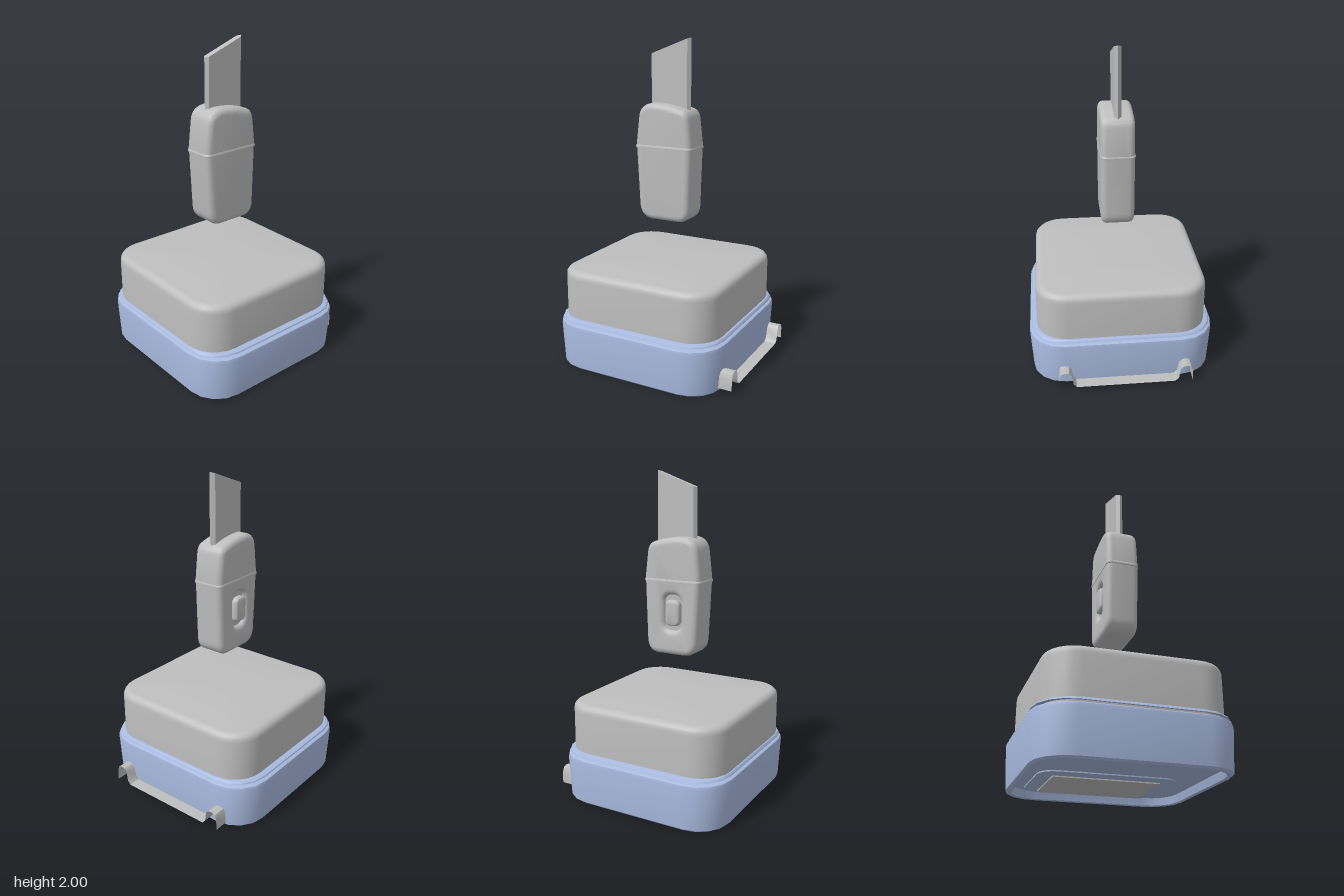
import * as THREE from 'three';
import { toCreasedNormals } from 'three/addons/utils/BufferGeometryUtils.js';

const grey = new THREE.MeshStandardMaterial({ color: 0xbebebe, side: THREE.DoubleSide });
grey.name = 'light grey';
const blue = new THREE.MeshStandardMaterial({ color: 0xa8badf });
blue.name = 'soft blue';

function add(group, name, geometry, material) {
  const mesh = new THREE.Mesh(toCreasedNormals(geometry, 0.6), material);
  mesh.name = name;
  group.add(mesh);
  return mesh;
}

// Skin a stack of rounded rectangles; each section is [y, halfX, halfZ, radius]
function loft(sections, centreZ, steps = 4) {
  const pos = [], index = [], n = 4 * (steps + 1);
  for (const [y, hx, hz, r] of sections) {
    for (let c = 0; c < 4; c++) {
      const sx = c === 0 || c === 3 ? 1 : -1, sz = c < 2 ? 1 : -1;
      for (let k = 0; k <= steps; k++) {
        const a = (c + k / steps) * Math.PI / 2;
        pos.push(sx * (hx - r) + r * Math.cos(a), y, centreZ + sz * (hz - r) + r * Math.sin(a));
      }
    }
  }
  for (let i = 0; i < sections.length - 1; i++) {
    for (let j = 0; j < n; j++) {
      const a = i * n + j, b = i * n + (j + 1) % n;
      index.push(a, a + n, b, b, a + n, b + n);
    }
  }
  const g = new THREE.BufferGeometry();
  g.setAttribute('position', new THREE.Float32BufferAttribute(pos, 3));
  g.setIndex(index);
  return g;
}

function roundedRect(Type, cx, cy, w, h, r) {
  const p = new Type(), x = w / 2 - r, y = h / 2 - r;
  p.absarc(cx + x, cy + y, r, 0, Math.PI / 2);
  p.absarc(cx - x, cy + y, r, Math.PI / 2, Math.PI);
  p.absarc(cx - x, cy - y, r, Math.PI, Math.PI * 1.5);
  p.absarc(cx + x, cy - y, r, Math.PI * 1.5, Math.PI * 2);
  p.closePath();
  return p;
}

// Extrude a (-z, y) outline between two x positions with rounded edges
function slab(shape, x0, x1, bevel) {
  const g = new THREE.ExtrudeGeometry(shape, {
    depth: x1 - x0 - 2 * bevel, bevelThickness: bevel, bevelSize: bevel,
    bevelOffset: -bevel, bevelSegments: 4, curveSegments: 8,
  });
  g.translate(0, 0, x0 + bevel);
  g.rotateY(Math.PI / 2);
  // rotateY maps outline x to -z
  return g;
}

// Side outline of the handle, drawn as (-z, y)
function handleOutline() {
  const s = new THREE.Shape();
  s.moveTo(-0.12, 0.885);
  s.lineTo(0.07, 0.885);
  s.quadraticCurveTo(0.14, 0.89, 0.143, 0.97);
  s.lineTo(0.155, 1.335);
  s.lineTo(0.157, 1.36);
  s.lineTo(0.138, 1.52);
  s.quadraticCurveTo(0.13, 1.57, 0.09, 1.58);
  s.quadraticCurveTo(0.0, 1.61, -0.11, 1.611);
  s.quadraticCurveTo(-0.195, 1.605, -0.206, 1.53);
  s.lineTo(-0.226, 1.36);
  s.lineTo(-0.224, 1.335);
  s.lineTo(-0.205, 0.97);
  s.quadraticCurveTo(-0.195, 0.89, -0.12, 0.885);
  return s;
}

function createKnife() {
  const knife = new THREE.Group();
  knife.name = 'knife';

  // Handle: a solid side and an overlapping side with the slider recess
  add(knife, 'handleSolidSide', slab(handleOutline(), -0.075, 0.102, 0.035), grey);
  const open = handleOutline();
  open.holes.push(roundedRect(THREE.Path, -0.04, 1.15, 0.11, 0.22, 0.045));
  add(knife, 'handleSliderSide', slab(open, -0.102, 0.07, 0.035), grey);
  add(knife, 'slider', slab(roundedRect(THREE.Shape, -0.045, 1.15, 0.1, 0.16, 0.035), -0.112, -0.06, 0.018), grey);

  // Collar around the handle
  add(knife, 'collar', loft([
    [1.333, 0.09, 0.18, 0.03], [1.335, 0.105, 0.194, 0.035],
    [1.345, 0.106, 0.195, 0.035], [1.355, 0.102, 0.19, 0.035],
  ], 0.035), grey);

  // Blade with two ground edges and a slanted top
  const outline = [[0, -0.16], [0.021, -0.145], [0.021, 0.095], [0, 0.112], [-0.021, 0.095], [-0.021, -0.145]];
  const blade = new THREE.ExtrudeGeometry(
    new THREE.Shape(outline.map(([x, y]) => new THREE.Vector2(x, y))), { depth: 1, bevelEnabled: false });
  blade.rotateX(-Math.PI / 2);
  const p = blade.attributes.position;
  for (let i = 0; i < p.count; i++) {
    p.setY(i, p.getY(i) > 0.5 ? 1.9 + (0.16 - p.getZ(i)) * 0.368 : 1.5);
  }
  add(knife, 'blade', blade, grey).geometry.computeVertexNormals();
  return knife;
}

export function createModel() {
  const model = new THREE.Group();
  model.name = 'craftKnifeAndCase';
  const caseZ = 0.03;

  // Tub: recessed floor, foot edge, tapered wall and top lip
  add(model, 'tub', loft([
    [0.05, 0.001, 0.001, 0.0005], [0.05, 0.515, 0.5, 0.17], [0.004, 0.525, 0.508, 0.18],
    [0, 0.545, 0.528, 0.19], [0.012, 0.558, 0.541, 0.2], [0.265, 0.573, 0.555, 0.215],
    [0.283, 0.57, 0.552, 0.215], [0.29, 0.558, 0.54, 0.21], [0.29, 0.51, 0.51, 0.19],
  ], caseZ), blue);

  // Thin flange between tub and lid
  add(model, 'flange', loft([
    [0.305, 0.51, 0.51, 0.19], [0.302, 0.56, 0.545, 0.21],
    [0.31, 0.557, 0.542, 0.21], [0.318, 0.535, 0.535, 0.2], [0.318, 0.51, 0.51, 0.19],
  ], caseZ), blue);

  // Lid with a rounded upper edge
  const lid = [[0.28, 0.524, 0.526, 0.19], [0.565, 0.524, 0.526, 0.19]];
  for (let i = 1; i <= 5; i++) {
    const a = i / 5 * Math.PI / 2, inset = 0.045 * (1 - Math.cos(a));
    lid.push([0.57 + 0.045 * Math.sin(a), 0.524 - inset, 0.526 - inset, 0.19 - inset]);
  }
  lid.push([0.615, 0.001, 0.001, 0.0005]);
  add(model, 'lid', loft(lid, 0.033, 6), grey);

  // Underside hatch: a raised blue surround with a grey plate
  const surround = add(model, 'hatchSurround', loft([
    [0.043, 0.001, 0.001, 0.0005], [0.043, 0.41, 0.28, 0.1], [0.05, 0.41, 0.28, 0.1],
  ], -0.18), blue);
  surround.position.x = -0.03;
  const plate = add(model, 'hatchPlate', new THREE.BoxGeometry(0.64, 0.008, 0.42), grey);
  plate.position.set(-0.03, 0.04, -0.21);

  // Rear clip: a bent strip with an arch at each end
  const half = [[0.412, 0.025], [0.41, 0.1], [0.4, 0.125], [0.375, 0.135], [0.35, 0.13], [0.333, 0.11], [0.325, 0.05], [0.305, 0.026]];
  const path = [...half.map(([x, y]) => [-x, y]), ...half.slice().reverse()];
  const clip = new THREE.PlaneGeometry(1, 1, path.length - 1, 1);
  const cp = clip.attributes.position;
  for (let i = 0; i < cp.count; i++) {
    const [x, y] = path[i % path.length];
    cp.setXYZ(i, x - 0.008, y, i < path.length ? -0.588 : -0.495);
  }
  add(model, 'rearClip', clip, grey);

  model.add(createKnife());
  return model;
}
